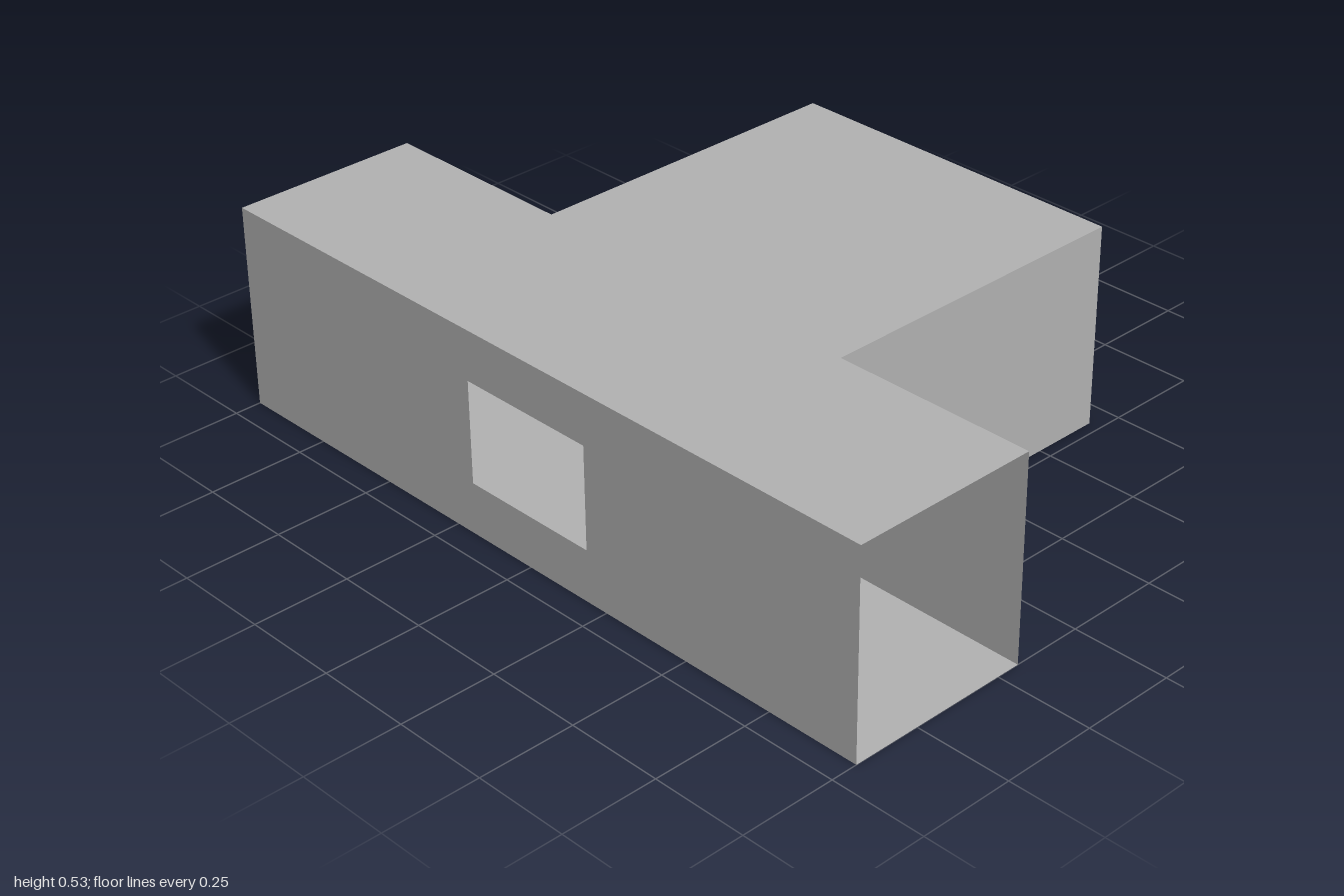
import * as THREE from 'three';

const HEIGHT = 0.53;
const FRONT = 0.68, INNER = 0.187, BACK = -0.68; // z of the main hall and branch
const BRANCH = 0.468;                            // half width of the branch

export function createModel() {
  const group = new THREE.Group();
  const grey = new THREE.MeshStandardMaterial({ color: 0xb2b2b2, side: THREE.DoubleSide });
  grey.name = 'plainGrey';

  const add = (name, geometry) => {
    const mesh = new THREE.Mesh(geometry, grey);
    mesh.name = name;
    group.add(mesh);
    return mesh;
  };

  // T-shaped floor and ceiling sheets
  const plan = new THREE.Shape([
    [-1, FRONT], [1, FRONT], [1, INNER], [BRANCH, INNER],
    [BRANCH, BACK], [-BRANCH, BACK], [-BRANCH, INNER], [-1, INNER],
  ].map(([x, z]) => new THREE.Vector2(x, -z)));
  add('floor', new THREE.ShapeGeometry(plan).rotateX(-Math.PI / 2));
  add('ceiling', new THREE.ShapeGeometry(plan).rotateX(-Math.PI / 2).translate(0, HEIGHT, 0));

  // Front wall with a rectangular window opening
  const rect = (Type, x, y0, y1) => new Type([
    [-x, y0], [x, y0], [x, y1], [-x, y1],
  ].map(([px, py]) => new THREE.Vector2(px, py)));
  const wall = rect(THREE.Shape, 1, 0, HEIGHT);
  wall.holes.push(rect(THREE.Path, 0.19, 0.135, 0.4));
  add('frontWall', new THREE.ShapeGeometry(wall).translate(0, 0, FRONT));

  // Shoulder and branch walls on each side; the three ends stay open
  for (const [side, s] of [['left', 1], ['right', -1]]) {
    add(side + 'ShoulderWall', new THREE.PlaneGeometry(1 - BRANCH, HEIGHT)
      .rotateY(Math.PI)
      .translate(s * (1 + BRANCH) / 2, HEIGHT / 2, INNER));
    add(side + 'BranchWall', new THREE.PlaneGeometry(INNER - BACK, HEIGHT)
      .rotateY(s * Math.PI / 2)
      .translate(s * BRANCH, HEIGHT / 2, (INNER + BACK) / 2));
  }
  return group;
}
